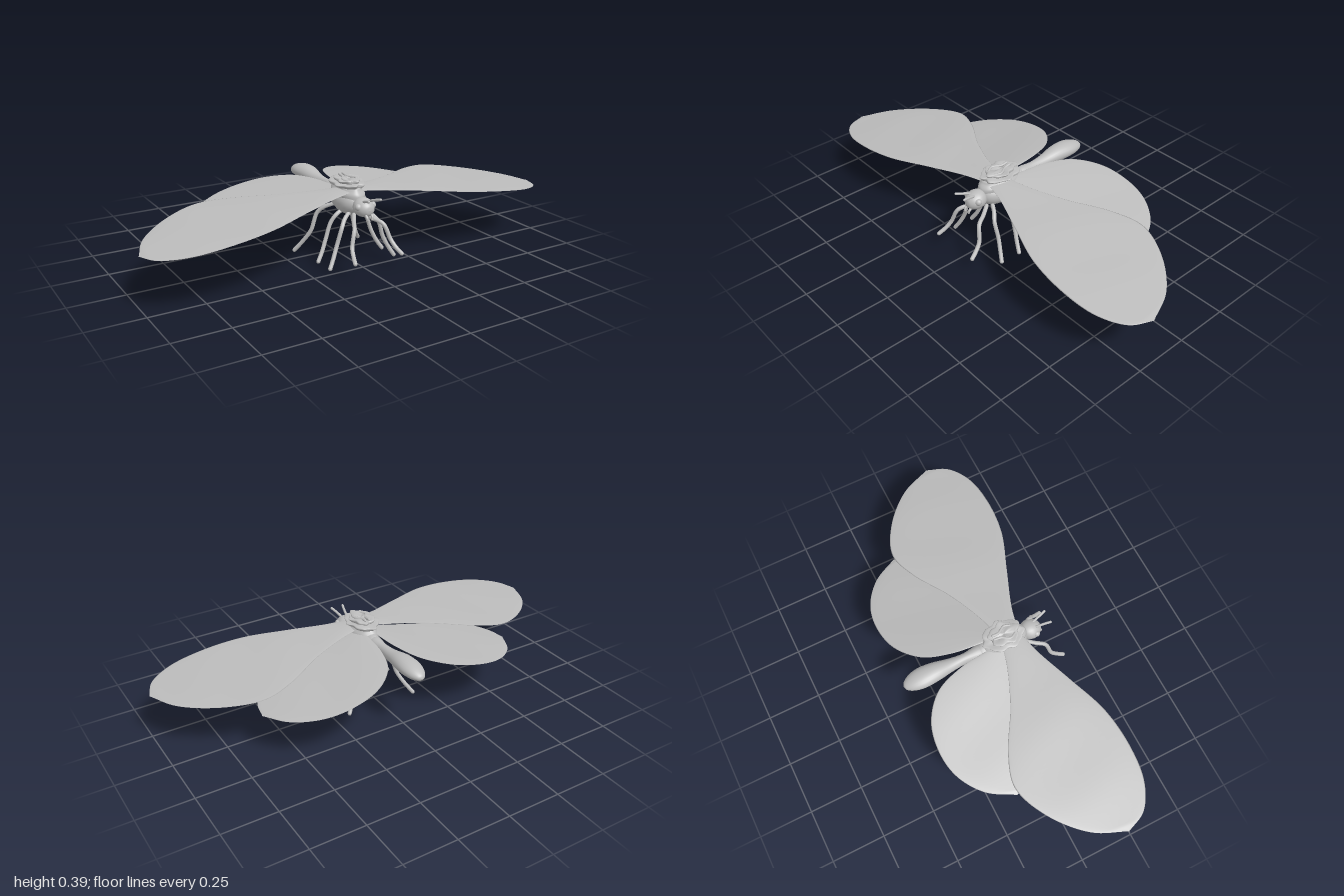
import * as THREE from 'three';

const grey = new THREE.MeshStandardMaterial({ color: 0xbcbcbc });
grey.name = 'plain grey';

// Closed smooth skin over rows of points: point(u, angle) with u from 0 to 1
function loft(name, rows, cols, point) {
  const pos = [], index = [];
  for (let i = 0; i <= rows; i++) {
    for (let j = 0; j < cols; j++) {
      pos.push(...point(i / rows, (j / cols) * Math.PI * 2));
      if (i === rows) continue;
      const a = i * cols + j, b = i * cols + ((j + 1) % cols);
      index.push(a, a + cols, b + cols, a, b + cols, b);
    }
  }
  const geo = new THREE.BufferGeometry();
  geo.setAttribute('position', new THREE.Float32BufferAttribute(pos, 3));
  geo.setIndex(index);
  geo.computeVertexNormals();
  const mesh = new THREE.Mesh(geo, grey);
  mesh.name = name;
  return mesh;
}

const spline = (pts) => new THREE.CatmullRomCurve3(pts.map((p) => new THREE.Vector3(...p)), false, 'centripetal');

// Thin wing between a leading and a trailing edge, given as [x, z]
function wing(name, lead, trail, height) {
  const l = spline(lead.map(([x, z]) => [x, 0, z]));
  const t = spline(trail.map(([x, z]) => [x, 0, z]));
  return loft(name, 56, 32, (u, a) => {
    const p = l.getPoint(u), q = t.getPoint(u), c = Math.cos(a);
    const x = (p.x + q.x) / 2 + (c * (p.x - q.x)) / 2;
    const z = (p.z + q.z) / 2 + (c * (p.z - q.z)) / 2;
    const ripple = 0.0015 * Math.sin(x * 17 + z * 5) * Math.sin(a) ** 2;
    const thick = 0.0045 * Math.min(1, (1 - u) * 12);
    return [x, height(x) + ripple + thick * Math.sin(a), z];
  });
}

// Body part along z, front to back; sections are [z, centre y, half width, half height]
function bodyPart(name, sections) {
  const centre = spline(sections.map(([z, y]) => [0, y, z]));
  const size = spline(sections.map(([z, , w, h]) => [w, h, z]));
  return loft(name, 40, 24, (u, a) => {
    const c = centre.getPoint(u), s = size.getPoint(u);
    return [Math.max(0, s.x) * Math.cos(a), c.y + Math.max(0, s.y) * Math.sin(a), s.z];
  });
}

// Round limb with rounded ends
function limb(name, pts, radius) {
  const group = new THREE.Group();
  group.name = name;
  const path = spline(pts);
  group.add(new THREE.Mesh(new THREE.TubeGeometry(path, 28, radius, 10), grey));
  for (const t of [0, 1]) {
    const end = new THREE.Mesh(new THREE.SphereGeometry(radius, 10, 8), grey);
    end.position.copy(path.getPoint(t));
    group.add(end);
  }
  return group;
}

// Crumpled ruffle; profile is [radius x, radius z, y]
function ruffle(name, profile, waves, depth, cz) {
  const curve = spline(profile);
  return loft(name, 24, 72, (u, a) => {
    const p = curve.getPoint(u);
    const fold = Math.sin(waves * a + 2 * u) + 0.6 * Math.sin((waves + 4) * a + 1.3);
    const r = 1 + depth * fold * Math.min(1, 2 * u);
    const lift = 0.004 * u * Math.sin(3 * a + 5 * u) * Math.min(1, p.x * 50);
    return [p.x * r * Math.cos(a), p.z + lift, cz + p.y * r * Math.sin(a)];
  });
}

function makeSide() {
  const side = new THREE.Group();
  // Wings
  side.add(wing('forewing',
    [[0.02, 0.19], [0.12, 0.215], [0.3, 0.285], [0.5, 0.36], [0.7, 0.381], [0.85, 0.36], [0.955, 0.295], [0.999, 0.2]],
    [[0.02, 0.09], [0.12, 0.065], [0.3, -0.01], [0.48, -0.115], [0.62, -0.155], [0.78, -0.09], [0.93, 0.05], [0.999, 0.2]],
    (x) => 0.339 - 0.1 * x + 0.012 * Math.sin(Math.PI * x)));
  side.add(wing('hindwing',
    [[0.02, 0.12], [0.15, 0.1], [0.3, 0.085], [0.45, 0.06], [0.56, 0.015], [0.62, -0.06], [0.64, -0.15]],
    [[0.02, 0.03], [0.04, -0.13], [0.09, -0.26], [0.2, -0.35], [0.34, -0.375], [0.46, -0.35], [0.57, -0.27], [0.64, -0.15]],
    (x) => 0.332 - 0.19 * x));
  // Four legs: points as [x, y, z]
  const legs = [
    [[0.025, 0.24, 0.21], [0.05, 0.222, 0.25], [0.075, 0.205, 0.295], [0.1, 0.135, 0.318], [0.11, 0.105, 0.345], [0.12, 0.084, 0.376]],
    [[0.025, 0.25, 0.18], [0.07, 0.225, 0.205], [0.095, 0.195, 0.224], [0.12, 0.12, 0.224], [0.145, 0.065, 0.235], [0.168, 0.026, 0.247]],
    [[0.025, 0.25, 0.13], [0.07, 0.225, 0.132], [0.095, 0.19, 0.126], [0.12, 0.12, 0.127], [0.145, 0.065, 0.136], [0.17, 0.026, 0.146]],
    [[0.025, 0.25, 0.05], [0.065, 0.23, 0.02], [0.09, 0.2, -0.003], [0.115, 0.115, -0.016], [0.145, 0.055, -0.045], [0.175, 0.01, -0.07]],
  ];
  legs.forEach((pts, i) => side.add(limb('leg' + (i + 1), pts, 0.0095)));
  // Feeler, jaw and eye
  side.add(limb('antenna', [[0.012, 0.31, 0.26], [0.018, 0.322, 0.29], [0.024, 0.33, 0.315], [0.03, 0.336, 0.336]], 0.006));
  side.add(limb('palp', [[0.012, 0.265, 0.28], [0.014, 0.25, 0.3], [0.012, 0.24, 0.302]], 0.006));
  const eye = new THREE.Mesh(new THREE.SphereGeometry(0.016, 16, 12), grey);
  eye.name = 'eye';
  eye.position.set(0.036, 0.292, 0.264);
  side.add(eye);
  return side;
}

export function createModel() {
  const model = new THREE.Group();
  model.name = 'wingedInsect';

  model.add(bodyPart('head', [
    [0.302, 0.28, 0, 0], [0.297, 0.28, 0.02, 0.02], [0.28, 0.281, 0.038, 0.035],
    [0.25, 0.283, 0.048, 0.042], [0.22, 0.283, 0.038, 0.038], [0.19, 0.283, 0, 0]]));
  model.add(bodyPart('thorax', [
    [0.225, 0.285, 0, 0], [0.215, 0.285, 0.035, 0.032], [0.18, 0.283, 0.06, 0.054], [0.12, 0.281, 0.066, 0.06],
    [0.05, 0.284, 0.05, 0.052], [-0.01, 0.292, 0.034, 0.04], [-0.05, 0.298, 0, 0]]));
  model.add(bodyPart('abdomen', [
    [0.03, 0.29, 0, 0], [0.0, 0.292, 0.034, 0.038], [-0.08, 0.3, 0.024, 0.03], [-0.15, 0.305, 0.03, 0.03],
    [-0.23, 0.314, 0.044, 0.036], [-0.3, 0.315, 0.049, 0.034], [-0.35, 0.311, 0.038, 0.026],
    [-0.38, 0.307, 0.018, 0.013], [-0.387, 0.306, 0, 0]]));

  // Saddle and crumpled ruffles on the back
  model.add(ruffle('saddle', [[0.06, 0.11, 0.3], [0.062, 0.108, 0.325], [0.05, 0.094, 0.343], [0.045, 0.085, 0.352], [0, 0, 0.354]], 3, 0.02, 0.115));
  model.add(ruffle('lowerRuffle', [[0.04, 0.07, 0.34], [0.052, 0.085, 0.348], [0.07, 0.096, 0.36], [0.071, 0.097, 0.366], [0.05, 0.075, 0.37], [0, 0, 0.372]], 7, 0.06, 0.108));
  model.add(ruffle('upperRuffle', [[0.03, 0.05, 0.362], [0.05, 0.068, 0.37], [0.054, 0.07, 0.381], [0.035, 0.05, 0.384], [0, 0, 0.38]], 5, 0.1, 0.112));
  for (const s of [1, -1]) {
    model.add(limb('fold', [[0.012 * s, 0.378, 0.17], [0.032 * s, 0.382, 0.13], [0.012 * s, 0.384, 0.09], [0.01 * s, 0.388, 0.06]], 0.006));
  }

  // Mirrored sides
  const left = makeSide();
  left.name = 'leftSide';
  const right = makeSide();
  right.name = 'rightSide';
  right.scale.x = -1;
  model.add(left, right);
  return model;
}
